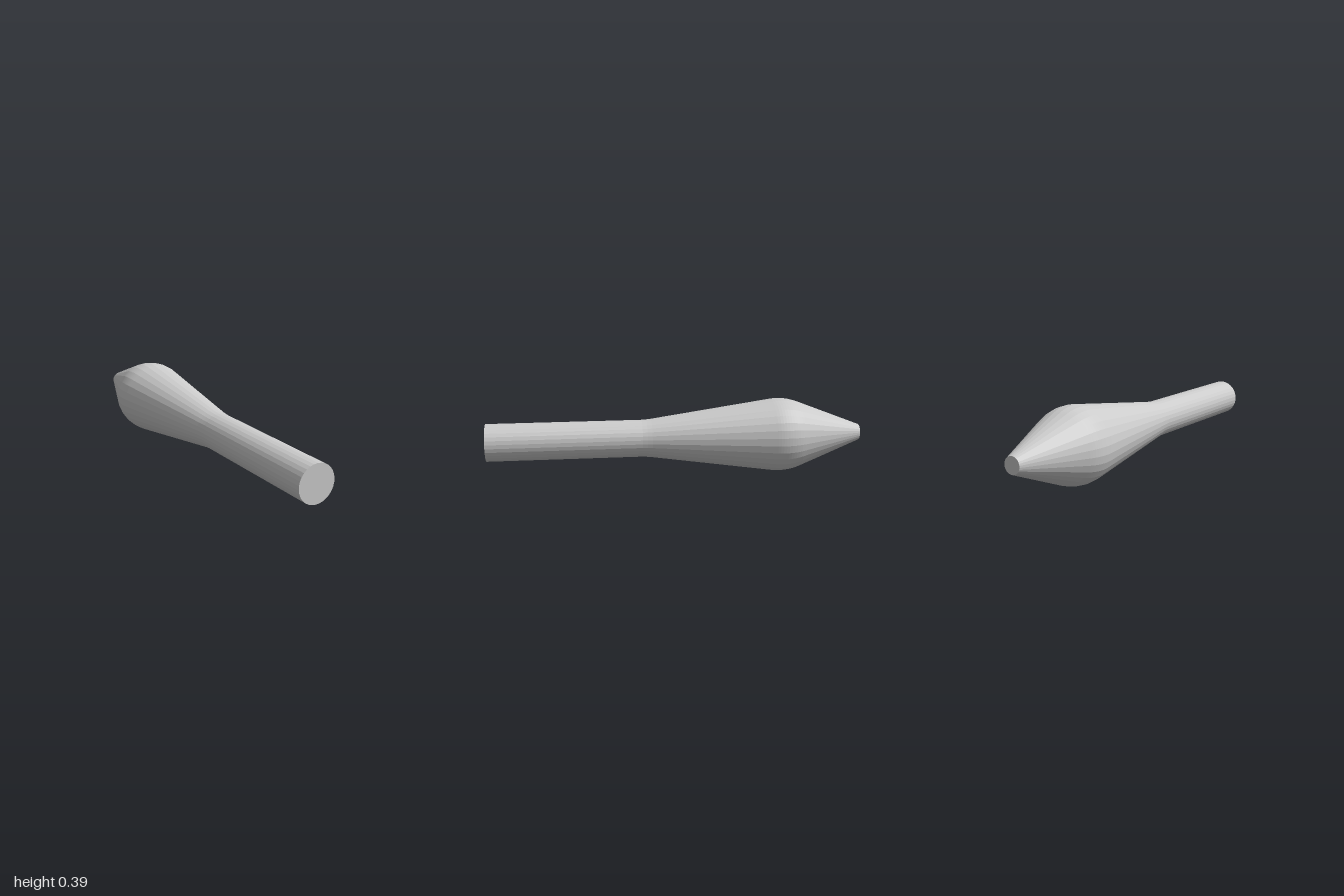
import * as THREE from 'three';

export function createModel() {
  const group = new THREE.Group();
  const material = new THREE.MeshStandardMaterial({ color: 0xcccccc, flatShading: true });
  const points = [];
  const add = (along, radius) => points.push(new THREE.Vector2(radius, along));

  // Straight shaft with its closed front end
  add(-1, 0);
  add(-1, 0.098);
  add(-0.19, 0.098);
  // Soft start of the taper
  add(-0.165, 0.0995);
  add(-0.14, 0.102);

  // Rounded bulge: an arc joining the long taper to the nose cone
  const arcRadius = 0.295, peak = 0.196, peakAt = 0.55, steps = 10;
  const start = THREE.MathUtils.degToRad(-7.9), end = THREE.MathUtils.degToRad(21.4);
  for (let i = 0; i <= steps; i++) {
    const a = start + (end - start) * i / steps;
    add(peakAt + arcRadius * Math.sin(a), peak - arcRadius * (1 - Math.cos(a)));
  }

  // Nose cone with a flat tip
  add(1, 0.043);
  add(1, 0);

  // Lay the turned body along z, nose to the back
  const geometry = new THREE.LatheGeometry(points, 30);
  geometry.rotateX(-Math.PI / 2);
  geometry.translate(0, peak, 0);
  const body = new THREE.Mesh(geometry, material);
  body.name = 'taperedBody';
  group.add(body);
  return group;
}
